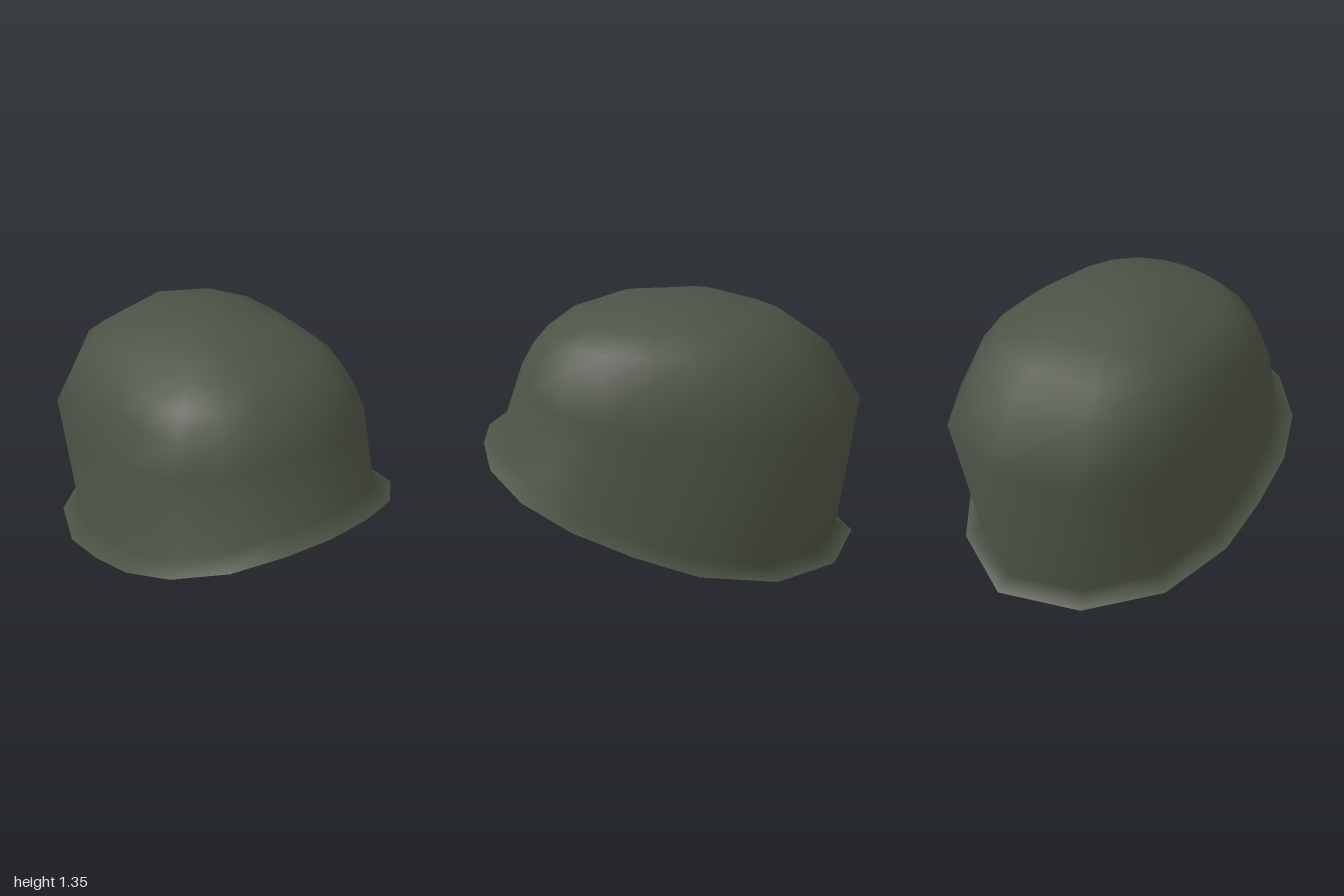
import * as THREE from 'three';

// Half outline of the rim from front to back: x, y, z
const HALF = [
  [0, 0.605, 1], [0.24, 0.59, 0.97], [0.48, 0.54, 0.88], [0.68, 0.46, 0.69], [0.78, 0.36, 0.44],
  [0.805, 0.25, 0.15], [0.805, 0.155, -0.15], [0.695, 0.073, -0.525], [0.413, 0.022, -0.84], [0, 0.003, -1],
];

// Dome rings: front z, front y, back z, back y, half width, drop at the sides
const RINGS = [
  [0.80, 0.95, -0.99, 0.785, 0.69, 0.08],
  [0.73, 1.07, -0.80, 1.085, 0.605, 0.06],
  [0.65, 1.16, -0.665, 1.175, 0.54, 0.035],
  [0.54, 1.24, -0.53, 1.265, 0.445, 0.04],
  [0.30, 1.32, -0.21, 1.345, 0.26, 0.02],
];

// Joins rings of equal length into a surface, optionally closed by a top point
function loft(rings, top) {
  const n = rings[0].length;
  const points = rings.flat();
  const index = [];
  for (let r = 0; r < rings.length - 1; r++) {
    for (let j = 0; j < n; j++) {
      const k = (j + 1) % n;
      const a = r * n + j, b = r * n + k, c = a + n, d = b + n;
      index.push(a, b, d, a, d, c);
    }
  }
  if (top) {
    const base = (rings.length - 1) * n;
    points.push(top);
    for (let j = 0; j < n; j++) index.push(base + j, base + (j + 1) % n, points.length - 1);
  }
  const geometry = new THREE.BufferGeometry();
  geometry.setAttribute('position', new THREE.Float32BufferAttribute(points.flat(), 3));
  geometry.setIndex(index);
  geometry.computeVertexNormals();
  return geometry;
}

export function createModel() {
  const group = new THREE.Group();
  group.name = 'helmet';
  const olive = new THREE.MeshStandardMaterial({ color: 0x4c5244, side: THREE.DoubleSide });
  olive.name = 'olive green';

  // Full rim: mirror the half outline
  const rim = [...HALF, ...HALF.slice(1, -1).reverse().map(([x, y, z]) => [-x, y, z])];

  // Crease where the flared brim meets the bowl
  const crease = rim.map(([x, y, z]) => [x * 0.885, y + 0.045, z * 0.91]);

  // Bowl rings follow the rim outline, a little fuller towards the back
  const dome = RINGS.map(([zf, yf, zb, yb, w, drop]) => rim.map(([x, , z]) => {
    const t = (z + 1) / 2;
    const fuller = 1 + 0.25 * Math.min(0, z) ** 2;
    return [
      (x / 0.805) * w * fuller,
      THREE.MathUtils.lerp(yb, yf, t) - drop * (1 - z * z),
      THREE.MathUtils.lerp(zb, zf, t),
    ];
  }));

  // Shell: brim and bowl in one smooth open surface
  const shell = new THREE.Mesh(loft([rim, crease, ...dome], [0, 1.355, 0.05]), olive);
  shell.name = 'shell';
  group.add(shell);
  return group;
}
